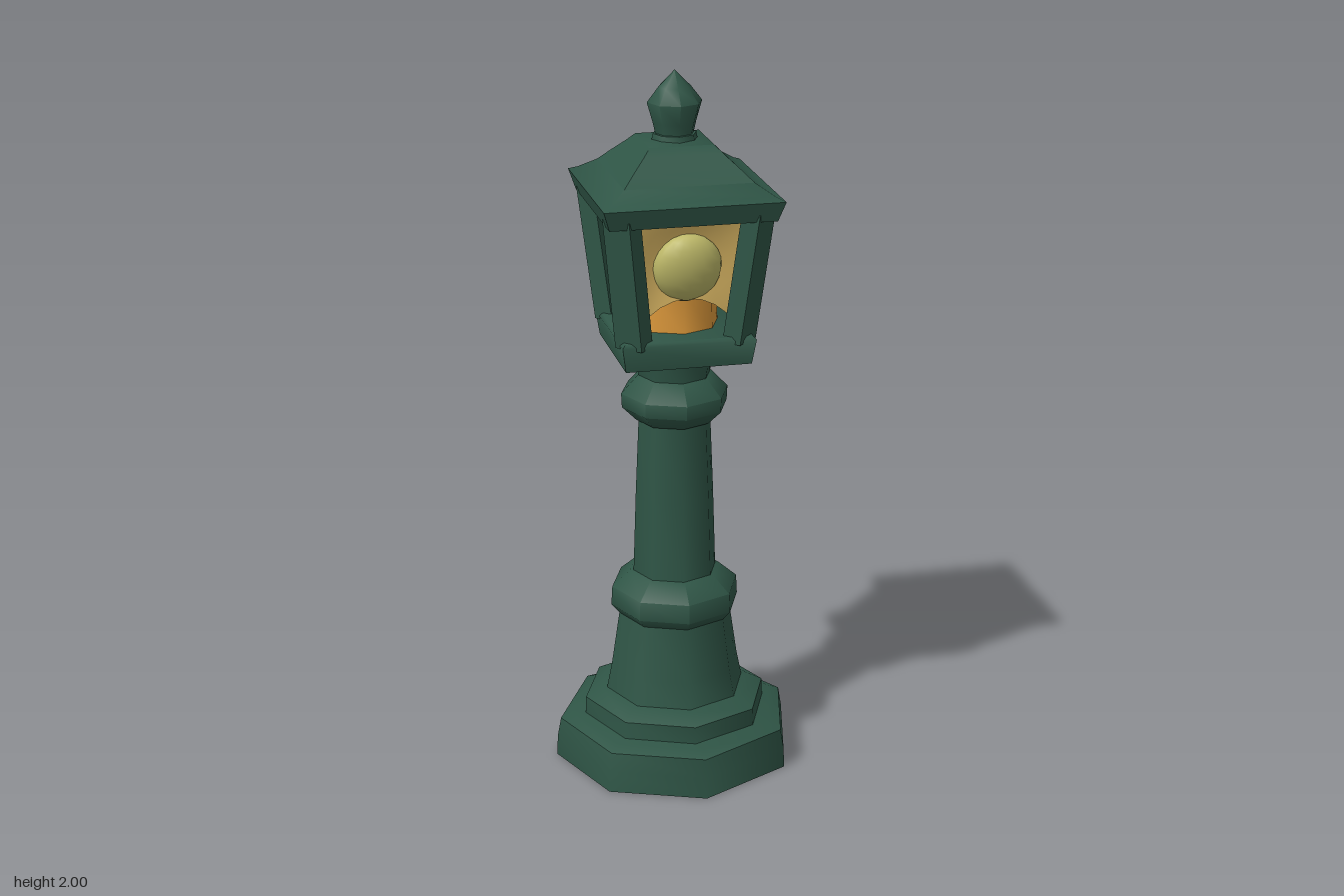
import * as THREE from 'three';
import { toCreasedNormals } from 'three/addons/utils/BufferGeometryUtils.js';

const mat = (name, color, extra = {}) => {
  const m = new THREE.MeshStandardMaterial({ color, ...extra });
  m.name = name;
  return m;
};

export function createModel() {
  const green = mat('dark green iron', 0x2f5546);
  const amber = mat('amber glass', 0xd2b060, { side: THREE.DoubleSide });
  const orange = mat('orange candle', 0xd9963a);
  const glow = mat('pale yellow glow', 0xbdb868);

  const group = new THREE.Group();
  group.name = 'lampPost';
  const add = (name, geo, material, parent = group) => {
    const mesh = new THREE.Mesh(geo, material);
    mesh.name = name;
    parent.add(mesh);
    return mesh;
  };

  // Faceted turned part: profile is [radius, height] from bottom to top
  const turned = (profile, sides, crease = 0.9) =>
    toCreasedNormals(new THREE.LatheGeometry(profile.map(([r, y]) => new THREE.Vector2(r, y)), sides), crease);

  // Uneven eight-sided foot, with its corners moved to their own angles
  const angles = [0, 47, 97, 145, 187, 215, 263, 313, 360];
  const foot = new THREE.LatheGeometry(
    [[0, 0], [0.348, 0], [0.345, 0.06], [0.335, 0.115], [0.30, 0.13], [0, 0.135]].map(([r, y]) => new THREE.Vector2(r, y)), 8);
  const fp = foot.attributes.position;
  for (let i = 0; i < fp.count; i++) {
    const r = Math.hypot(fp.getX(i), fp.getZ(i));
    const a = THREE.MathUtils.degToRad(angles[Math.floor(i / 6)]);
    fp.setXYZ(i, r * Math.sin(a), fp.getY(i), r * Math.cos(a));
  }
  add('foot', toCreasedNormals(foot, 0.95), green);

  // Column
  add('footStep', turned([[0, 0.1], [0.265, 0.11], [0.262, 0.18], [0.215, 0.205], [0, 0.21]], 8), green);
  add('pedestal', turned([[0, 0.18], [0.205, 0.18], [0.185, 0.28], [0.16, 0.45], [0, 0.46]], 8), green);
  add('pedestalRing', turned([[0, 0.43], [0.16, 0.435], [0.185, 0.465], [0.182, 0.52], [0.13, 0.565], [0, 0.57]], 8), green);
  add('shaft', turned([[0, 0.54], [0.12, 0.55], [0.112, 0.8], [0.102, 1.04], [0, 1.05]], 8), green);
  add('collar', turned([[0, 1.015], [0.11, 1.02], [0.15, 1.06], [0.152, 1.1], [0.105, 1.15], [0, 1.155]], 8), green);
  add('neck', turned([[0, 1.13], [0.1, 1.14], [0.115, 1.23], [0, 1.24]], 8), green);

  // Lantern: square, with its corners on the axes
  const lantern = new THREE.Group();
  lantern.name = 'lantern';
  group.add(lantern);
  add('lanternFloor', turned([[0, 1.22], [0.247, 1.22], [0.262, 1.29], [0.25, 1.3], [0, 1.3]], 4), green, lantern);
  add('roof', turned([[0, 1.63], [0.322, 1.63], [0.347, 1.685], [0.315, 1.695], [0.25, 1.725],
    [0.2, 1.76], [0.155, 1.79], [0.125, 1.812], [0, 1.82]], 4), green, lantern);
  add('finialNeck', turned([[0, 1.8], [0.065, 1.805], [0.06, 1.83], [0, 1.835]], 8), green, lantern);
  add('finial', turned([[0, 1.82], [0.052, 1.825], [0.06, 1.86], [0.076, 1.915], [0.045, 1.955], [0, 2]], 8), green, lantern);
  add('candle', turned([[0, 1.29], [0.122, 1.29], [0.118, 1.41], [0, 1.412]], 8), orange, lantern);

  // Corner posts, leaning outwards as they rise
  const post = new THREE.BoxGeometry(0.084, 0.37, 0.056);
  const pp = post.attributes.position;
  for (let i = 0; i < pp.count; i++) {
    const t = pp.getY(i) / 0.37 + 0.5;
    pp.setXYZ(i, pp.getX(i), 1.28 + 0.37 * t, pp.getZ(i) + THREE.MathUtils.lerp(0.206, 0.264, t));
  }
  post.computeVertexNormals();

  // Glass pane: slightly sunken, with an arched lower edge
  const pane = new THREE.PlaneGeometry(2, 1, 8, 6);
  const gp = pane.attributes.position;
  for (let i = 0; i < gp.count; i++) {
    const u = gp.getX(i), v = gp.getY(i) + 0.5;
    const arch = 1 - u * u;
    const y = THREE.MathUtils.lerp(1.32 + 0.09 * arch, 1.64, v);
    const half = THREE.MathUtils.lerp(0.2, 0.255, (y - 1.3) / 0.34) * Math.SQRT1_2;
    gp.setXYZ(i, u * half, y, half - 0.022 * arch * Math.sin(Math.PI * v));
  }
  pane.computeVertexNormals();

  for (let i = 0; i < 4; i++) {
    add('cornerPost', post, green, lantern).rotation.y = i * Math.PI / 2;
    add('glassPane', pane, amber, lantern).rotation.y = (i + 0.5) * Math.PI / 2;
  }

  // Rounded light bulging through two opposite panes
  for (const turn of [Math.PI / 4, Math.PI * 5 / 4]) {
    const holder = new THREE.Group();
    holder.name = 'light';
    holder.rotation.y = turn;
    lantern.add(holder);
    const bulb = add('bulb', new THREE.SphereGeometry(1, 16, 12), glow, holder);
    bulb.scale.set(0.095, 0.1, 0.052);
    bulb.position.set(0, 1.495, 0.147);
    bulb.rotation.x = 0.25;
  }
  return group;
}
